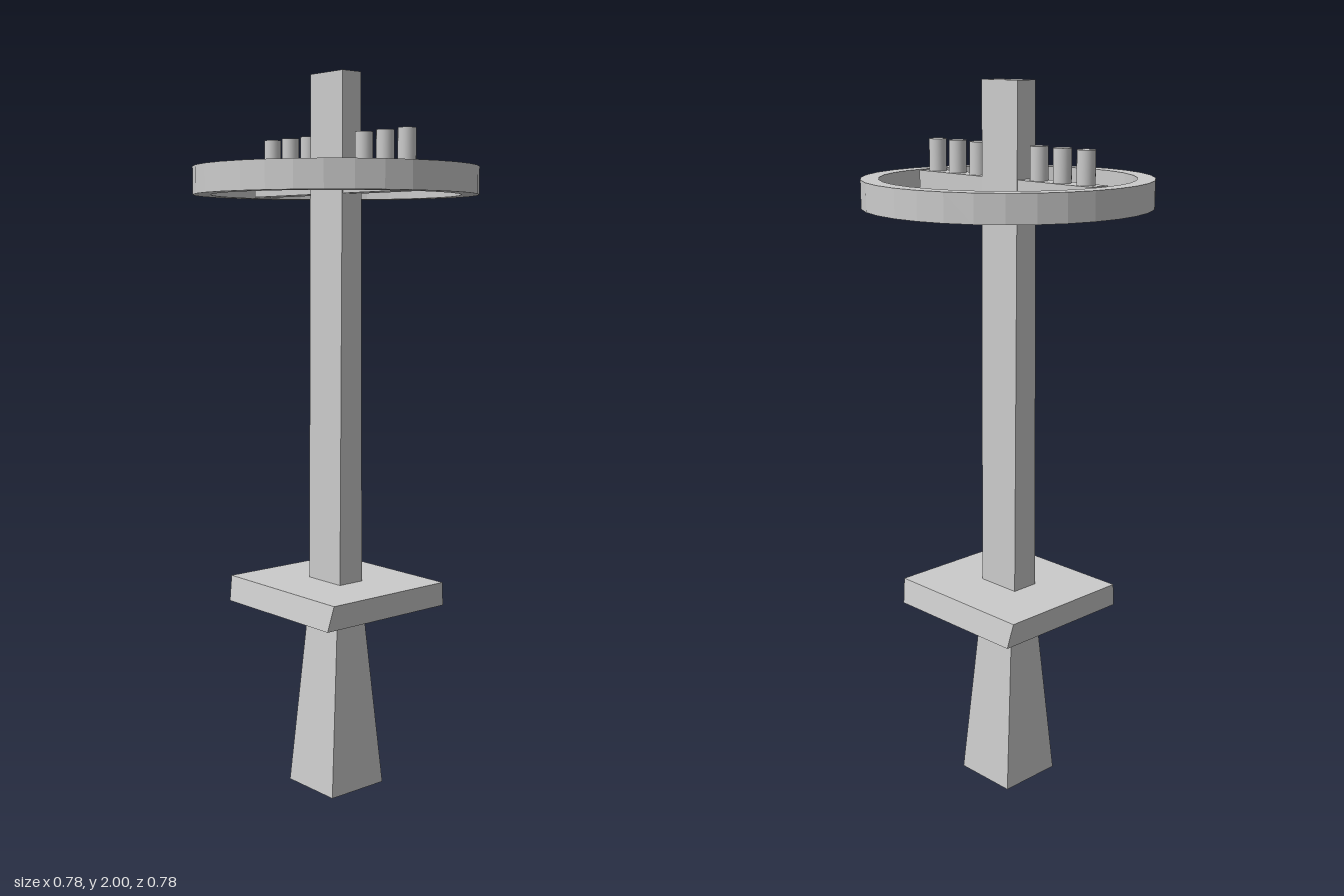
import * as THREE from 'three';

const material = new THREE.MeshStandardMaterial({ color: 0xcccccc, flatShading: true });
const smooth = new THREE.MeshStandardMaterial({ color: 0xcccccc });

// Four-sided solid through rectangular sections [y, halfX, zBack, zFront], listed from bottom to top
function loft(name, sections) {
  const pos = [], idx = [];
  for (const [y, hx, zb, zf] of sections) {
    pos.push(-hx, y, zf, hx, y, zf, hx, y, zb, -hx, y, zb);
  }
  for (let s = 0; s < sections.length - 1; s++) {
    for (let i = 0; i < 4; i++) {
      const a = s * 4 + i, b = s * 4 + (i + 1) % 4;
      idx.push(a, b, b + 4, a, b + 4, a + 4);
    }
  }
  const t = (sections.length - 1) * 4;
  idx.push(0, 2, 1, 0, 3, 2, t, t + 1, t + 2, t, t + 2, t + 3);
  const indexed = new THREE.BufferGeometry();
  indexed.setAttribute('position', new THREE.Float32BufferAttribute(pos, 3));
  indexed.setIndex(idx);
  const geometry = indexed.toNonIndexed();
  geometry.computeVertexNormals();
  const mesh = new THREE.Mesh(geometry, material);
  mesh.name = name;
  return mesh;
}

export function createModel() {
  const group = new THREE.Group();
  group.name = 'ringPost';

  // Flared foot, widest at the ground
  group.add(loft('foot', [[0, 0.095, -0.095, 0.095], [0.5, 0.065, -0.049, 0.051]]));

  // Square collar with a shallow pyramid underside
  group.add(loft('collar', [
    [0.495, 0.065, -0.049, 0.051],
    [0.53, 0.217, -0.213, 0.215],
    [0.6, 0.227, -0.2, 0.201],
  ]));

  // Tall post, tapering only front to back
  group.add(loft('post', [[0.59, 0.067, -0.039, 0.043], [2, 0.067, -0.031, 0.034]]));

  // Crossbar through the post
  const bar = new THREE.Mesh(new THREE.BoxGeometry(0.648, 0.072, 0.063), material);
  bar.name = 'crossbar';
  bar.position.set(0, 1.714, 0.001);
  group.add(bar);

  // Pegs on the crossbar, three each side
  const pegGeometry = new THREE.CylinderGeometry(0.024, 0.024, 0.095, 24);
  for (const side of [-1, 1]) {
    for (const x of [0.115, 0.198, 0.28]) {
      const peg = new THREE.Mesh(pegGeometry, smooth);
      peg.name = 'peg';
      peg.position.set(side * x, 1.79, 0);
      group.add(peg);
    }
  }

  // Faceted ring around the crossbar
  const profile = [[0.342, 1.675], [0.39, 1.675], [0.39, 1.75], [0.342, 1.75], [0.342, 1.675]]
    .map(([r, y]) => new THREE.Vector2(r, y));
  const ring = new THREE.Mesh(new THREE.LatheGeometry(profile, 32), material);
  ring.name = 'ring';
  group.add(ring);

  return group;
}
